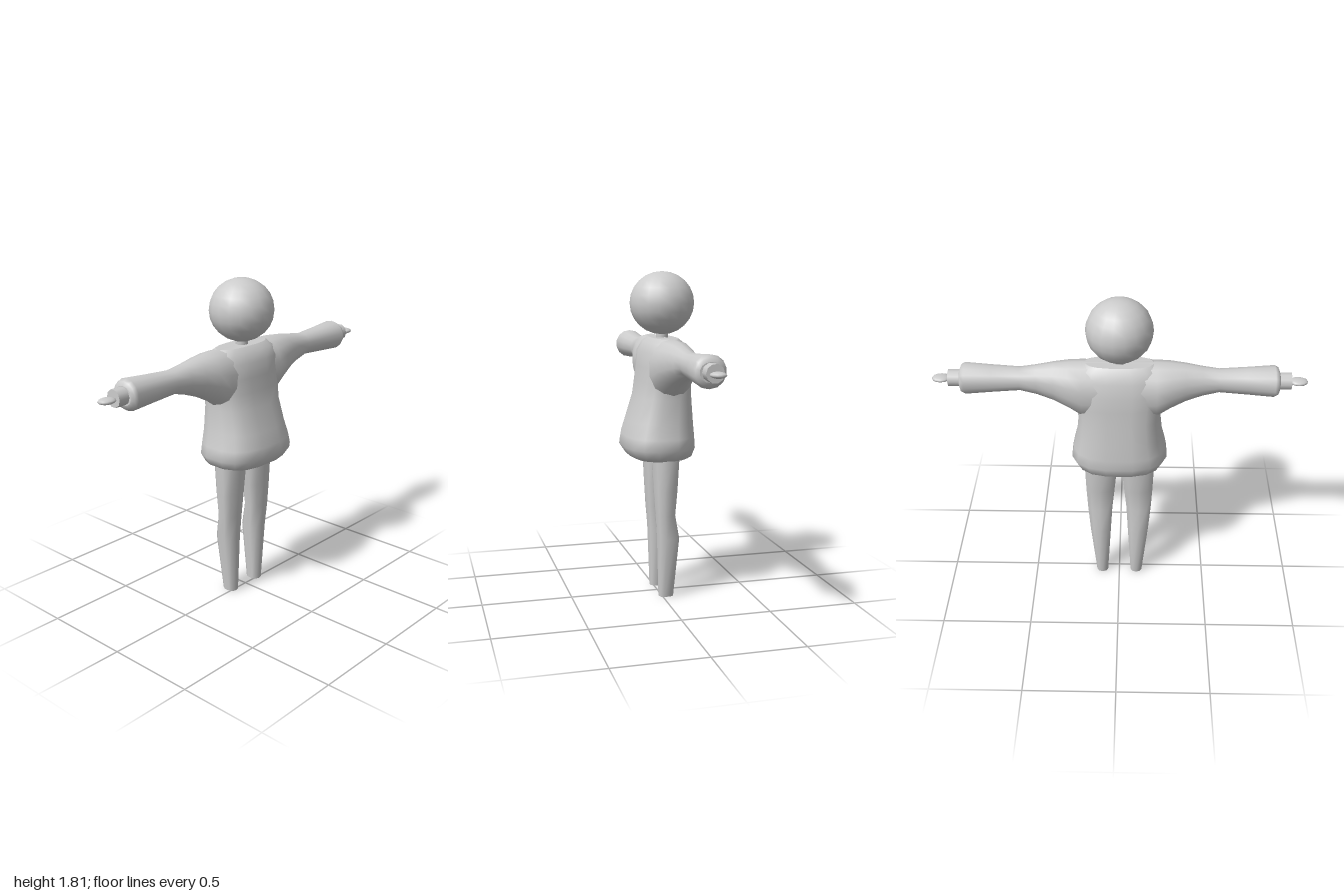
import * as THREE from 'three';

// Smooth skin over superellipse rings along 'x' or 'y', with flat caps.
// Ring: [position, minA, maxA, minB, maxB]; A, B are x, z (along y) or z, y (along x).
function loft(rings, axis, sides, power) {
  const pos = [], idx = [];
  const put = (p, a, b) => (axis === 'y' ? pos.push(a, p, b) : pos.push(p, b, a));
  const ring = ([p, a0, a1, b0, b1]) => {
    for (let i = 0; i < sides; i++) {
      const t = ((i + 0.5) / sides) * Math.PI * 2;
      const bend = (v) => Math.sign(v) * Math.abs(v) ** (2 / power);
      put(p, (a0 + a1) / 2 + bend(Math.cos(t)) * (a1 - a0) / 2,
        (b0 + b1) / 2 + bend(Math.sin(t)) * (b1 - b0) / 2);
    }
  };
  rings.forEach(ring);
  for (let r = 0; r < rings.length - 1; r++) {
    for (let i = 0; i < sides; i++) {
      const a = r * sides + i, b = r * sides + ((i + 1) % sides);
      idx.push(a, a + sides, b, b, a + sides, b + sides);
    }
  }
  for (const end of [0, rings.length - 1]) {
    const base = pos.length / 3, [p, a0, a1, b0, b1] = rings[end];
    ring(rings[end]);
    put(p, (a0 + a1) / 2, (b0 + b1) / 2);
    for (let i = 0; i < sides; i++) {
      const a = base + i, b = base + ((i + 1) % sides), c = base + sides;
      end ? idx.push(a, c, b) : idx.push(a, b, c);
    }
  }
  const geo = new THREE.BufferGeometry();
  geo.setAttribute('position', new THREE.Float32BufferAttribute(pos, 3));
  geo.setIndex(idx);
  geo.computeVertexNormals();
  return geo;
}

export function createModel() {
  const model = new THREE.Group();
  model.name = 'figure';
  const grey = new THREE.MeshStandardMaterial({ color: 0xcccccc });
  grey.name = 'plain grey';
  const add = (name, geo, x = 0, y = 0, z = 0) => {
    const mesh = new THREE.Mesh(geo, grey);
    mesh.name = name;
    mesh.position.set(x, y, z);
    model.add(mesh);
    return mesh;
  };

  // Head and neck
  add('head', new THREE.SphereGeometry(0.178, 18, 12), 0, 1.643, -0.027).scale.y = 0.965;
  add('neck', new THREE.CylinderGeometry(0.035, 0.035, 0.12, 12), 0, 1.46, -0.027);

  // Body of the smock: half width, back and front at each height
  const body = [
    [0.79, 0.19, -0.15, 0.14], [0.808, 0.235, -0.178, 0.172], [0.86, 0.268, -0.195, 0.205],
    [0.92, 0.257, -0.192, 0.196], [1.0, 0.238, -0.186, 0.172], [1.13, 0.225, -0.175, 0.13],
    [1.22, 0.232, -0.17, 0.115], [1.3, 0.24, -0.165, 0.105], [1.38, 0.24, -0.148, 0.095],
    [1.43, 0.225, -0.125, 0.065], [1.455, 0.18, -0.1, 0.035],
  ];
  add('smock body', loft(body.map(([y, w, b, f]) => [y, -w, w, b, f]), 'y', 16, 2.6));

  // Shoulders and sleeves in one sweep: back, front, bottom and top at each distance out
  const sleeve = [
    [0.1, -0.15, 0.085, 1.13, 1.458], [0.2, -0.155, 0.09, 1.14, 1.458],
    [0.27, -0.145, 0.078, 1.19, 1.455], [0.35, -0.122, 0.055, 1.232, 1.446],
    [0.44, -0.103, 0.035, 1.266, 1.43], [0.53, -0.097, 0.027, 1.29, 1.416],
    [0.68, -0.109, 0.037, 1.28, 1.426], [0.82, -0.123, 0.048, 1.27, 1.437],
    [0.84, -0.115, 0.04, 1.282, 1.425], [0.848, -0.095, 0.02, 1.303, 1.403],
  ];
  const mirrored = sleeve.map(([x, ...rest]) => [-x, ...rest]).reverse();
  add('shoulders and sleeves', loft([...mirrored, ...sleeve], 'x', 14, 2.1));

  for (const s of [1, -1]) {
    const side = s > 0 ? 'left' : 'right';
    // Wrist and flat mitten hand
    add(side + ' wrist', new THREE.CylinderGeometry(0.047, 0.047, 0.08, 10), s * 0.87, 1.354, -0.038)
      .rotation.z = Math.PI / 2;
    add(side + ' hand', new THREE.SphereGeometry(1, 12, 8), s * 0.95, 1.352, -0.038)
      .scale.set(0.05, 0.016, 0.04);

    // Tapered leg with a slight calf: inner x, outer x, back and front at each height
    const leg = [
      [0, 0.067, 0.136, -0.067, 0.02], [0.34, 0.047, 0.171, -0.098, 0.03],
      [0.48, 0.038, 0.185, -0.07, 0.038], [0.62, 0.024, 0.193, -0.083, 0.047],
      [0.85, 0.002, 0.202, -0.098, 0.06],
    ];
    add(side + ' leg', loft(leg.map(([y, i, o, b, f]) =>
      (s > 0 ? [y, i, o, b, f] : [y, -o, -i, b, f])), 'y', 10, 2.4));
  }
  return model;
}
